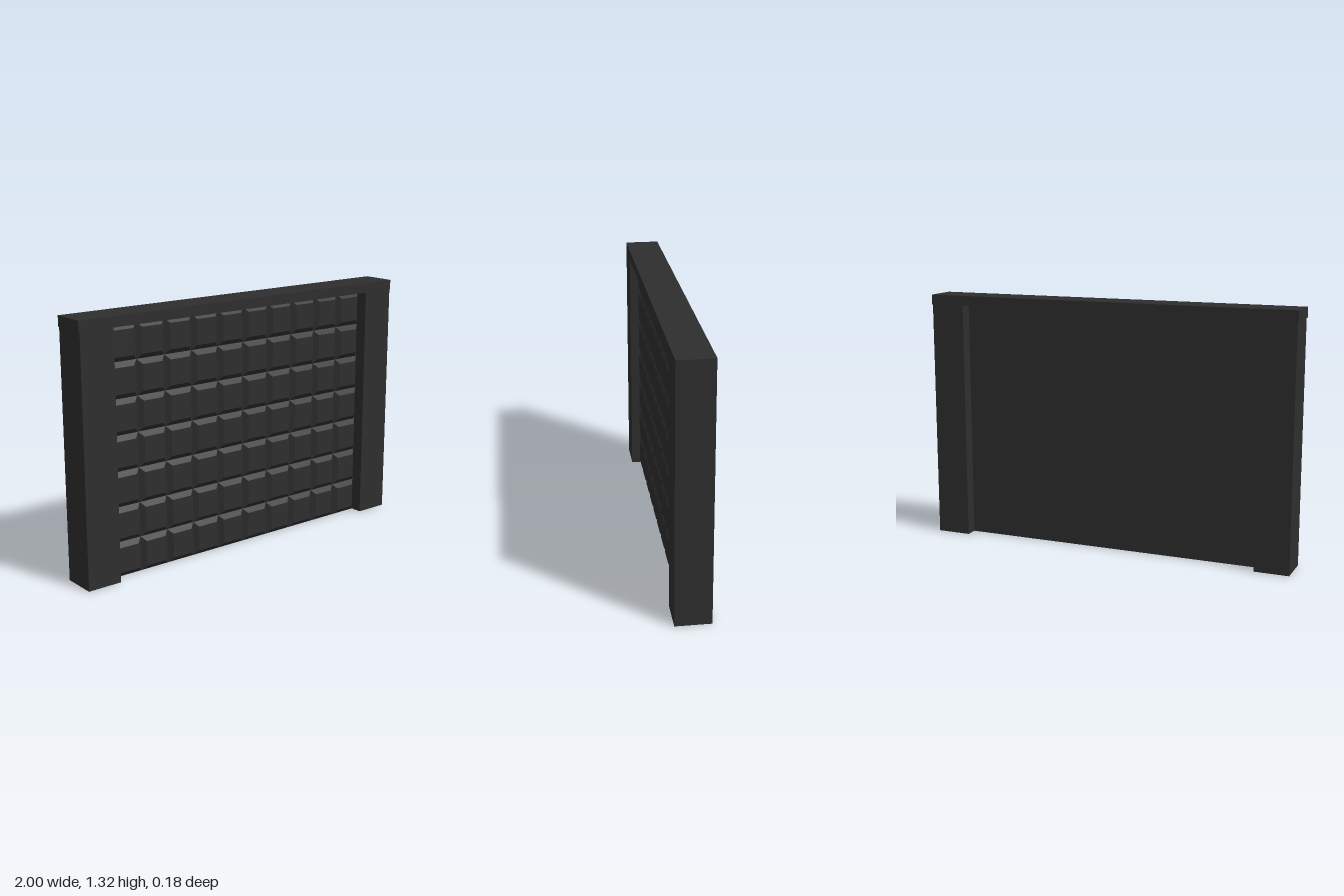
import * as THREE from 'three';

const HALF = 0.995, INNER = 0.813, DEPTH = 0.18;
const OPENING = 1.262, HEIGHT = 1.315;
const SLAB_Z = 0.025, RAISE = 0.02, BEVEL = 0.025;
const COLS = 10, ROWS = 7;

// Box whose front face is drawn in on all sides to make bevelled edges
function bevelledPanel(w, h) {
  const geo = new THREE.BoxGeometry(w, h, RAISE);
  const p = geo.attributes.position;
  for (let i = 0; i < p.count; i++) {
    if (p.getZ(i) > 0) {
      p.setX(i, p.getX(i) - Math.sign(p.getX(i)) * BEVEL);
      p.setY(i, p.getY(i) - Math.sign(p.getY(i)) * BEVEL);
    }
  }
  geo.computeVertexNormals();
  return geo;
}

export function createModel() {
  const model = new THREE.Group();
  model.name = 'panelledDoor';
  const charcoal = new THREE.MeshStandardMaterial({ color: 0x2e2e2e });
  charcoal.name = 'charcoal';

  function add(parent, name, geo, x, y, z) {
    const mesh = new THREE.Mesh(geo, charcoal);
    mesh.name = name;
    mesh.position.set(x, y, z);
    parent.add(mesh);
  }

  // Frame: two posts under a slightly wider lintel
  const postGeo = new THREE.BoxGeometry(HALF - INNER, OPENING, DEPTH);
  for (const s of [-1, 1]) {
    add(model, s > 0 ? 'leftPost' : 'rightPost', postGeo, s * (HALF + INNER) / 2, OPENING / 2, 0);
  }
  add(model, 'lintel', new THREE.BoxGeometry(2, HEIGHT - OPENING, DEPTH), 0, (HEIGHT + OPENING) / 2, 0);

  // Door slab recessed from both sides of the frame
  add(model, 'doorSlab', new THREE.BoxGeometry(INNER * 2, OPENING, SLAB_Z * 2), 0, OPENING / 2, 0);

  // Grid of raised bevelled panels on the front
  const panels = new THREE.Group();
  panels.name = 'raisedPanels';
  model.add(panels);
  const w = INNER * 2 / COLS, h = OPENING / ROWS;
  const panelGeo = bevelledPanel(w, h);
  for (let r = 0; r < ROWS; r++) {
    for (let c = 0; c < COLS; c++) {
      add(panels, 'raisedPanel', panelGeo, -INNER + (c + 0.5) * w, (r + 0.5) * h, SLAB_Z + RAISE / 2);
    }
  }
  return model;
}
